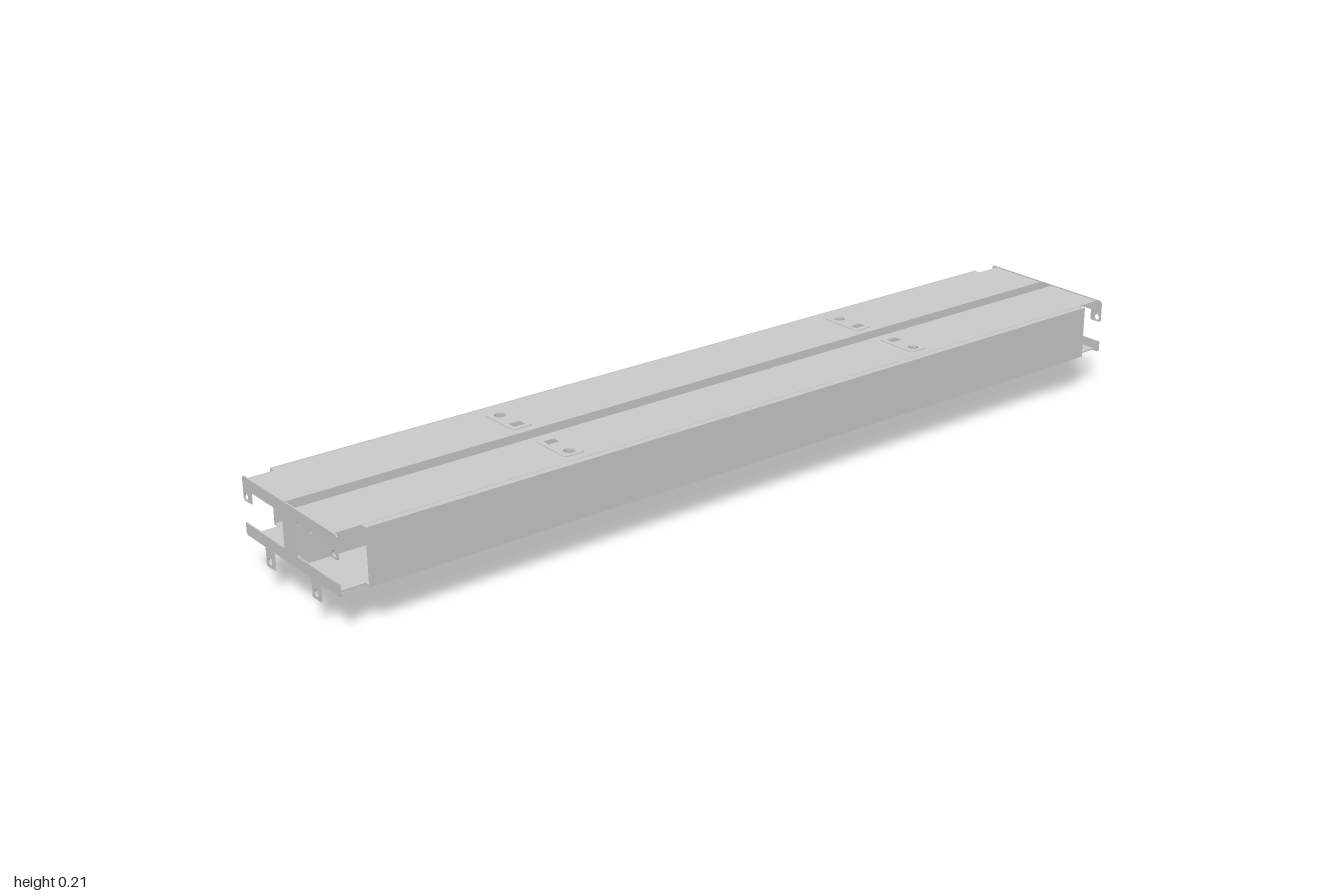
import * as THREE from 'three';

const T = 0.003; // sheet thickness
const TOP = 0.205, BOT = 0.087;

export function createModel() {
  const root = new THREE.Group();
  const mat = new THREE.MeshStandardMaterial({ color: 0xcccccc, flatShading: true, side: THREE.DoubleSide });

  const add = (name, geo, parent = root) => {
    const m = new THREE.Mesh(geo, mat);
    m.name = name;
    parent.add(m);
    return m;
  };
  const box = (name, w, h, d, x, y, z, parent) => {
    const m = add(name, new THREE.BoxGeometry(w, h, d), parent);
    m.position.set(x, y, z);
    return m;
  };
  const outline = (pts) => new THREE.Shape(pts.map(([a, b]) => new THREE.Vector2(a, b)));
  const circle = (x, y, r) => new THREE.Path().absarc(x, y, r, 0, Math.PI * 2, true);
  const rectHole = (x0, x1, y0, y1) => new THREE.Path([[x0, y0], [x0, y1], [x1, y1], [x1, y0]].map(p => new THREE.Vector2(...p)));
  // Profile drawn in (z, y), extruded along x and centred on x = 0
  const alongX = (shape, len) => {
    const g = new THREE.ExtrudeGeometry(shape, { depth: len, bevelEnabled: false, curveSegments: 10 });
    g.translate(0, 0, -len / 2);
    g.rotateY(-Math.PI / 2);
    return g;
  };

  // End plates: I-shaped frame with hooks above and hanging tabs below
  const half = [[0.085, 0.085], [0.07, 0.085], [0.07, 0.047], [0.1, 0.047], [0.1, 0.085],
    [0.168, 0.085], [0.172, 0.089], [0.172, 0.11], [0.028, 0.11], [0.025, 0.113], [0.025, 0.178],
    [0.028, 0.181], [0.143, 0.181], [0.143, 0.157], [0.168, 0.157], [0.172, 0.161], [0.172, 0.203], [0.168, 0.207]].slice(1);
  const endShape = outline([...half, ...half.map(([z, y]) => [-z, y]).reverse()]);
  for (const s of [-1, 1]) endShape.holes.push(circle(s * 0.161, 0.167, 0.007), circle(s * 0.085, 0.06, 0.007));
  for (const x of [-1, 1]) {
    add('endPlate', alongX(endShape, T)).position.x = x * (1 - T / 2);
  }

  // Horizontal channel sheets, with latch cut-outs at the given x positions
  const sheet = (name, y, xs, s, parent) => {
    const shape = outline([[-0.997, 0.018], [0.997, 0.018], [0.997, 0.158], [-0.997, 0.158]]);
    for (const x of xs) {
      shape.holes.push(rectHole(x - 0.013, x + 0.013, 0.049, 0.068), circle(x, 0.118, 0.012));
    }
    const g = new THREE.ExtrudeGeometry(shape, { depth: T, bevelEnabled: false, curveSegments: 8 });
    g.rotateX(Math.PI / 2);
    const m = add(name, g, parent);
    m.position.y = y;
    if (s < 0) m.rotation.y = Math.PI; // cut-outs are symmetric about x = 0
  };

  // Rounded latch surround lying against a sheet
  const latchShape = () => {
    const s = new THREE.Shape();
    const w = 0.024, a = 0.037, b = 0.138, r = 0.01;
    s.moveTo(-w + r, a).lineTo(w - r, a).quadraticCurveTo(w, a, w, a + r).lineTo(w, b - r)
      .quadraticCurveTo(w, b, w - r, b).lineTo(-w + r, b).quadraticCurveTo(-w, b, -w, b - r)
      .lineTo(-w, a + r).quadraticCurveTo(-w, a, -w + r, a);
    s.holes.push(rectHole(-0.013, 0.013, 0.049, 0.068), circle(0, 0.118, 0.012));
    return s;
  };
  const latch = (x, y, s, parent) => {
    const g = new THREE.ExtrudeGeometry(latchShape(), { depth: 0.0015, bevelEnabled: false, curveSegments: 6 });
    g.rotateX(Math.PI / 2);
    const m = add('latchSurround', g, parent);
    m.position.set(x, y, 0);
    if (s < 0) m.rotation.y = Math.PI;
  };

  // Two outward-facing channels, each closed by a side cover
  const topX = [-0.456, 0.456], bottomX = [-0.595, -0.18, 0.18, 0.595];
  for (const s of [1, -1]) {
    const channel = new THREE.Group();
    channel.name = s > 0 ? 'frontChannel' : 'backChannel';
    root.add(channel);
    sheet('topSheet', TOP, topX, s, channel);
    sheet('bottomSheet', BOT + T, bottomX, s, channel);
    for (const x of topX) latch(x, TOP + 0.0015, s, channel);
    for (const x of bottomX) latch(x, BOT, s, channel);
    const h = TOP - BOT;
    box('innerWall', 1.994, h, T, 0, BOT + h / 2, s * 0.0195, channel);

    // Cover with narrow returns over the top and bottom edges
    box('sideCover', 1.88, h, T, 0, BOT + h / 2, s * 0.1725, channel);
    for (const y of [TOP - 0.002, BOT + 0.002]) {
      box('coverReturn', 1.88, T, 0.018, 0, y, s * 0.164, channel);
    }

    // Flanges joining the inner wall to the end plates
    for (const x of [-1, 1]) {
      box('endFlange', 0.058, 0.08, T, x * 0.968, 0.15, s * 0.0225, channel);
      const rivet = add('rivet', new THREE.CylinderGeometry(0.005, 0.005, 0.003, 10), channel);
      rivet.rotation.x = Math.PI / 2;
      rivet.position.set(x * 0.968, 0.146, s * 0.025);
    }

    // Cable rests inside: flat arm with an upturned lip
    const rest = outline([[0.021, 0.142], [0.104, 0.142], [0.121, 0.159], [0.12, 0.161], [0.103, 0.144], [0.021, 0.144]]
      .map(([z, y]) => [s * z, y]));
    for (const x of [-0.456, 0.456]) {
      add('cableRest', alongX(rest, 0.08), channel).position.x = x;
    }
  }

  // Rear hanging bracket: two rounded, slotted cheeks joined by a back plate
  const cheek = new THREE.Shape();
  cheek.moveTo(-0.068, 0.087).lineTo(-0.068, 0.022).lineTo(-0.071, 0.018).lineTo(-0.071, 0.013)
    .absarc(-0.085, 0.014, 0.014, 0, -Math.PI, true)
    .lineTo(-0.099, 0.018).lineTo(-0.102, 0.025).lineTo(-0.102, 0.062).lineTo(-0.1, 0.087);
  cheek.holes.push(rectHole(-0.088, -0.082, 0.004, 0.017), circle(-0.085, 0.06, 0.007));
  const rear = new THREE.Group();
  rear.name = 'rearBracket';
  root.add(rear);
  for (const x of [-1, 1]) add('bracketCheek', alongX(cheek, T), rear).position.x = x * 0.0485;
  box('bracketBack', 0.1, 0.039, T, 0, 0.043, -0.101, rear);
  box('bracketMount', 0.1, T, 0.032, 0, BOT - T / 2, -0.085, rear);

  // Front hanging bracket: flat mount with two short pierced tabs
  const tab = outline([[0.07, 0.087], [0.07, 0.049], [0.072, 0.047], [0.098, 0.047], [0.1, 0.049], [0.1, 0.087]]);
  tab.holes.push(circle(0.085, 0.06, 0.007));
  const front = new THREE.Group();
  front.name = 'frontBracket';
  root.add(front);
  for (const x of [-1, 1]) add('bracketTab', alongX(tab, T), front).position.x = x * 0.0485;
  box('bracketMount', 0.1, T, 0.032, 0, BOT - T / 2, 0.085, front);

  return root;
}
